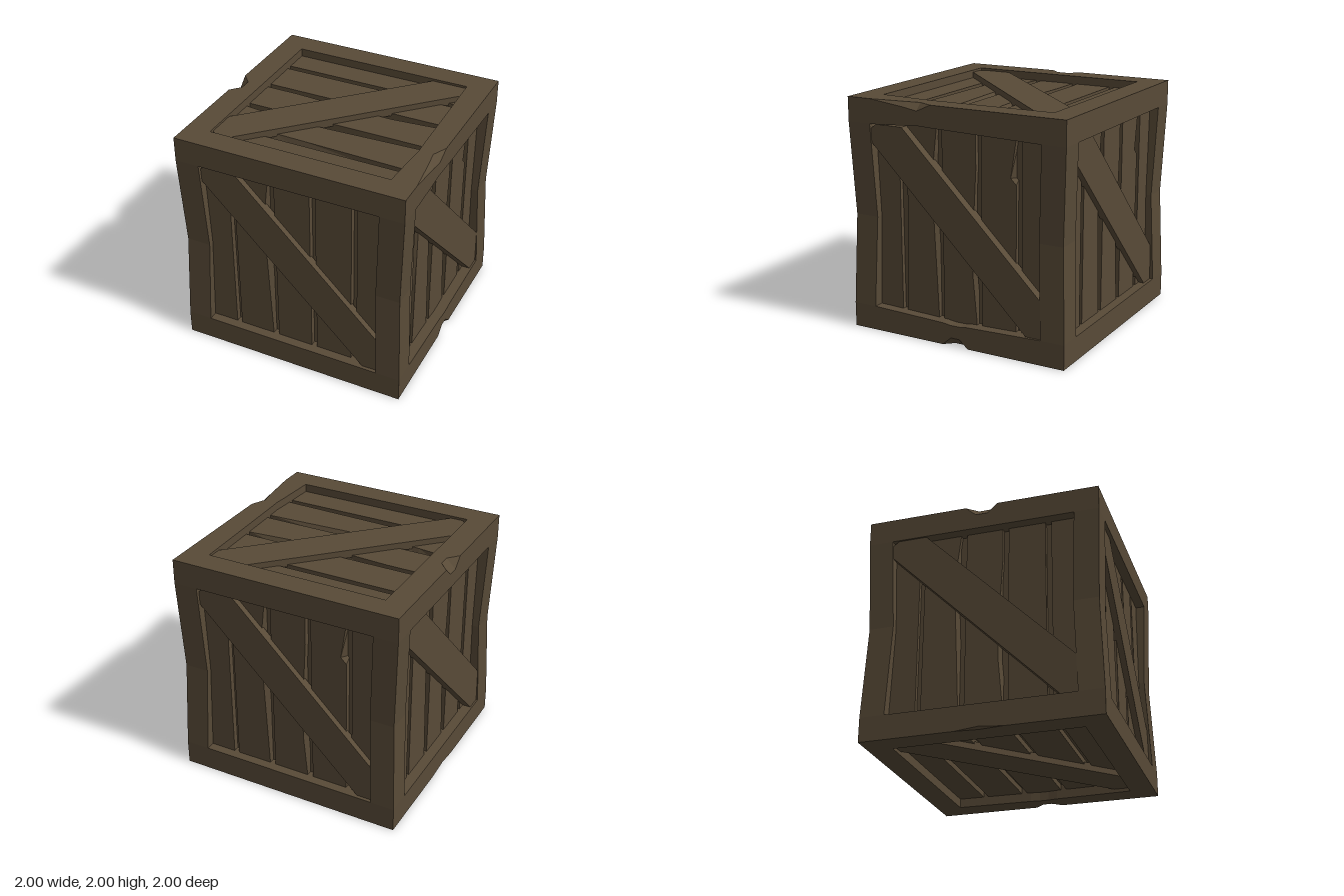
import * as THREE from 'three';

const wood = new THREE.MeshStandardMaterial({ color: 0x584a37 });
wood.name = 'dark brown wood';

// Skin a list of equal-sized rings of points, with flat faces and closed ends
function loft(rings) {
  const pos = [];
  const tri = (a, b, c) => pos.push(...a, ...b, ...c);
  const n = rings[0].length;
  for (let s = 0; s < rings.length - 1; s++) {
    for (let i = 0; i < n; i++) {
      const j = (i + 1) % n, p = rings[s], q = rings[s + 1];
      tri(p[i], p[j], q[j]);
      tri(p[i], q[j], q[i]);
    }
  }
  const first = rings[0], last = rings[rings.length - 1];
  for (let i = 1; i < n - 1; i++) {
    tri(first[0], first[i + 1], first[i]);
    tri(last[0], last[i], last[i + 1]);
  }
  const g = new THREE.BufferGeometry();
  g.setAttribute('position', new THREE.Float32BufferAttribute(pos, 3));
  g.computeVertexNormals();
  return g;
}

function add(parent, name, geometry) {
  const mesh = new THREE.Mesh(geometry, wood);
  mesh.name = name;
  parent.add(mesh);
  return mesh;
}

// Frame beam along z at the +x +y edge; stations are [z, inward bend, chipped edge, thinning]
function beam(stations) {
  return loft(stations.map(([z, bend, chip = 0, thin = 0]) => {
    const i = 0.79 - bend + thin, o = 1 - bend;
    return [[i, i, z], [o, i, z], [o, o - chip, z], [o - chip, o, z], [i, o, z]];
  }));
}

// Four beams around the z axis, one list of stations per edge
function beamSet(name, edges) {
  const set = new THREE.Group();
  set.name = name;
  edges.forEach((stations, k) => { add(set, name + 'Beam', beam(stations)).rotation.z = k * Math.PI / 2; });
  return set;
}

// Worn plank edges: [height, offset of the front edge]
const wear = {
  '1L': [[0.6, 0], [0.37, 0.03], [-0.79, 0]],
  '1R': [[0.79, 0], [0.5, -0.035], [0.1, -0.04], [-0.79, 0]],
  '2R': [[0.5, 0], [-0.1, -0.035], [-0.4, -0.035], [-0.79, 0]],
  '3R': [[0.79, 0], [0.47, -0.05], [0.42, 0]],
};
const plankEdges = [[-0.82, -0.565], [-0.52, -0.205], [-0.155, 0.16], [0.21, 0.525], [0.575, 0.82]];

function offsetAt(points, v) {
  if (!points) return 0;
  for (let i = 0; i < points.length - 1; i++) {
    const [v0, d0] = points[i], [v1, d1] = points[i + 1];
    if (v <= v0 && v >= v1) return d0 + (d1 - d0) * (v0 - v) / (v0 - v1);
  }
  return 0;
}

// One crate side facing +z: five planks and a diagonal brace
function panel(name, plankZ, braceZ, worn) {
  const side = new THREE.Group();
  side.name = name;
  plankEdges.forEach(([l, r], k) => {
    const left = worn.includes(k + 'L') ? wear[k + 'L'] : null;
    const right = worn.includes(k + 'R') ? wear[k + 'R'] : null;
    const heights = [...new Set([-0.84, 0.84, ...(left || []).map(p => p[0]), ...(right || []).map(p => p[0])])];
    heights.sort((a, b) => a - b);
    add(side, 'plank', loft(heights.map(v => [
      [l, v, 0.85],
      [l + offsetAt(left, v), v, plankZ],
      [r + offsetAt(right, v), v, plankZ],
      [r, v, 0.85],
    ])));
  });
  const outline = [[-0.79, 0.75], [-0.79, 0.64], [0.65, -0.79], [0.79, -0.79], [0.79, -0.48], [-0.49, 0.79], [-0.74, 0.79]];
  const shape = new THREE.Shape(outline.map(([x, y]) => new THREE.Vector2(x, y)));
  const brace = new THREE.ExtrudeGeometry(shape, { depth: braceZ - plankZ + 0.02, bevelEnabled: false });
  brace.translate(0, 0, plankZ - 0.02);
  add(side, 'diagonalBrace', brace);
  return side;
}

export function createModel() {
  const crate = new THREE.Group();
  crate.name = 'woodenCrate';
  const body = new THREE.Group();
  body.name = 'crateBody';
  body.position.y = 1;
  crate.add(body);

  // Inner lining behind the plank gaps
  add(body, 'innerLining', new THREE.BoxGeometry(1.74, 1.74, 1.74));

  // Corner posts, pinched at mid height
  const post = [[-0.79, 0], [0, 0.03], [0.79, 0]];
  const posts = beamSet('cornerPost', [post, post, post, post]);
  posts.rotation.x = -Math.PI / 2;
  body.add(posts);

  // Straight beams across the front and back
  const rail = [[-1, 0], [1, 0]];
  const rails = beamSet('crossRail', [rail, rail, rail, rail]);
  rails.rotation.y = Math.PI / 2;
  body.add(rails);

  // Chipped beams along the sides
  body.add(beamSet('sideRail', [
    [[-0.79, 0], [0.2, 0, 0, 0.025], [0.33, 0, 0.06, 0.03], [0.45, 0, 0.04, 0.02], [0.79, 0]],
    [[-0.79, 0], [-0.14, 0], [-0.05, 0, 0.08], [0.05, 0, 0.08], [0.14, 0], [0.79, 0]],
    [[-0.79, 0], [-0.2, 0], [0, 0, 0.02], [0.2, 0], [0.79, 0]],
    [[-0.79, 0], [-0.12, 0, 0, 0.02], [-0.04, 0, 0.07, 0.03], [0.04, 0, 0.07, 0.03], [0.12, 0, 0, 0.02], [0.79, 0]],
  ]));

  // Six panels: name, plank depth, brace depth, worn edges, rotation
  const q = Math.PI / 2;
  [
    ['frontPanel', 0.92, 0.97, ['1R'], [0, 0, 0]],
    ['rightPanel', 0.91, 0.985, ['1L', '1R', '2R', '3R'], [0, q, 0]],
    ['backPanel', 0.92, 0.97, ['1R', '2R', '3R'], [0, 2 * q, 0]],
    ['leftPanel', 0.91, 0.985, ['1R', '2R'], [0, -q, 0]],
    ['topPanel', 0.93, 0.98, ['1L', '1R', '2R'], [-q, 0, q]],
    ['bottomPanel', 0.92, 0.97, [], [q, 0, q]],
  ].forEach(([name, plankZ, braceZ, worn, turn]) => {
    const side = panel(name, plankZ, braceZ, worn);
    side.rotation.set(...turn);
    body.add(side);
  });
  return crate;
}
